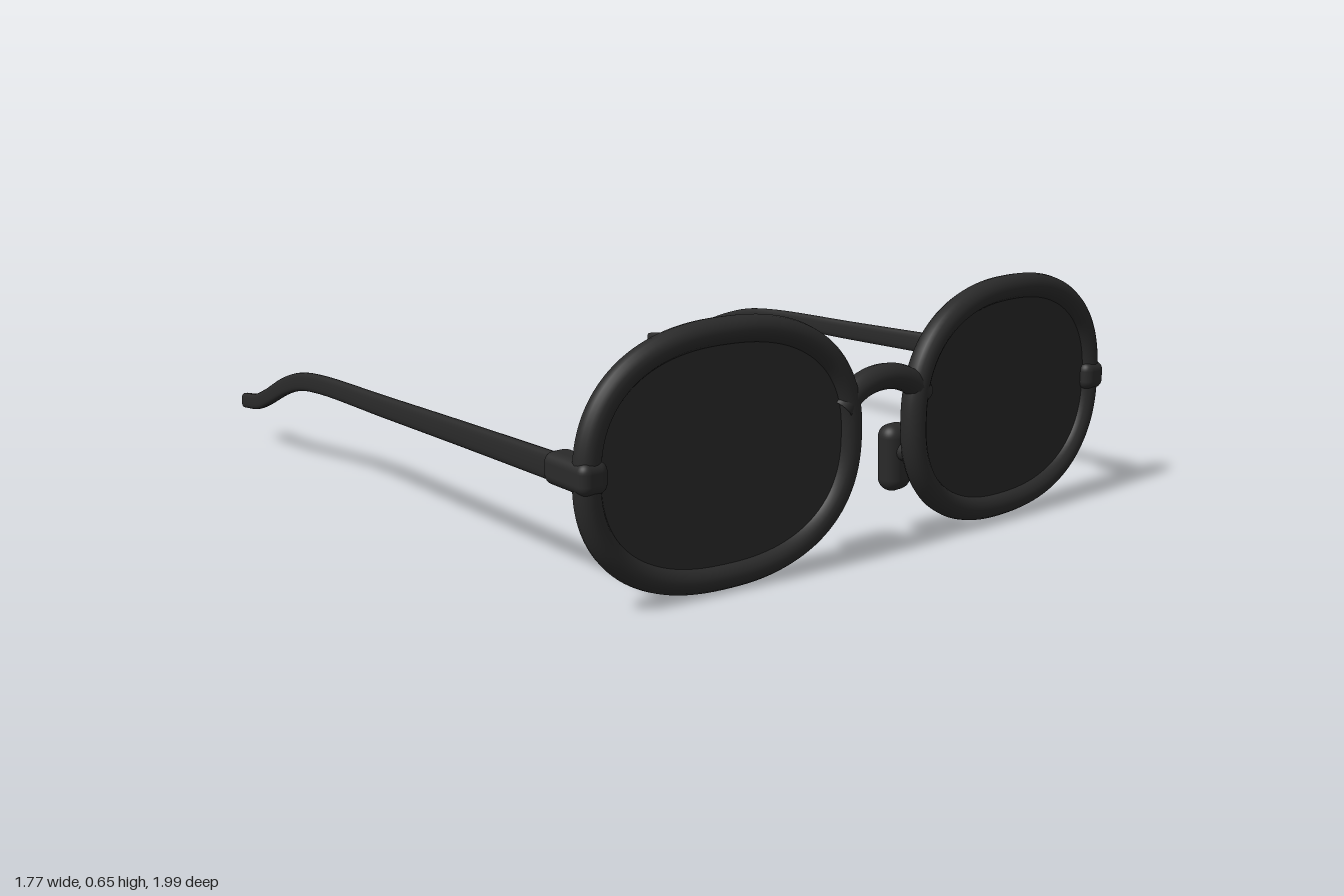
import * as THREE from 'three';
import { RoundedBoxGeometry } from 'three/addons/geometries/RoundedBoxGeometry.js';

const spow = (v, p) => Math.sign(v) * Math.abs(v) ** p;

// Points round a superellipse with half-sizes a and b
function ovalPoints(a, b, exponent, count) {
  return Array.from({ length: count }, (_, i) => {
    const t = (i / count) * Math.PI * 2;
    return new THREE.Vector2(a * spow(Math.cos(t), 2 / exponent), b * spow(Math.sin(t), 2 / exponent));
  });
}

// Temple arm: rounded flat section swept from the hinge back to the ear tip
function templeGeometry(side) {
  const path = new THREE.CatmullRomCurve3([
    [0.86, 0.333, 0.84], [0.852, 0.322, 0.4], [0.844, 0.31, 0], [0.837, 0.299, -0.38],
    [0.834, 0.284, -0.51], [0.829, 0.252, -0.62], [0.812, 0.183, -0.79], [0.8, 0.149, -0.89], [0.791, 0.131, -1],
  ].map(([x, y, z]) => new THREE.Vector3(x * side, y, z)));
  const rings = 64, count = 20, positions = [], index = [];
  for (let i = 0; i <= rings; i++) {
    const t = i / rings, p = path.getPointAt(t), tangent = path.getTangentAt(t);
    const across = new THREE.Vector3(0, 1, 0).cross(tangent).normalize();
    const up = tangent.clone().cross(across);
    const section = ovalPoints(0.0145 - 0.001 * t, 0.034 - 0.011 * t, 3, count);
    for (const q of section) {
      const v = p.clone().addScaledVector(across, q.x).addScaledVector(up, q.y);
      if (i === rings) v.z = -1;
      positions.push(v.x, v.y, v.z);
    }
  }
  for (let i = 0; i < rings; i++) {
    for (let j = 0; j < count; j++) {
      const a = i * count + j, b = i * count + (j + 1) % count;
      index.push(a, b, a + count, b, b + count, a + count);
    }
  }
  // Flat cap at the ear tip, with its own corners so the edge stays sharp
  const cap = positions.length / 3;
  positions.push(...positions.slice(-count * 3));
  for (let j = 1; j < count - 1; j++) index.push(cap, cap + j, cap + j + 1);
  const geometry = new THREE.BufferGeometry();
  geometry.setAttribute('position', new THREE.Float32BufferAttribute(positions, 3));
  geometry.setIndex(index);
  geometry.computeVertexNormals();
  return geometry;
}

export function createModel() {
  const model = new THREE.Group();
  model.name = 'sunglasses';
  const frame = new THREE.MeshStandardMaterial({ color: 0x2a2a2a });
  frame.name = 'frame black';
  const tint = new THREE.MeshStandardMaterial({ color: 0x282828 });
  tint.name = 'lens black';

  function add(parent, name, geometry, material, x = 0, y = 0, z = 0) {
    const mesh = new THREE.Mesh(geometry, material);
    mesh.name = name;
    mesh.position.set(x, y, z);
    parent.add(mesh);
    return mesh;
  }

  // Rim and lens outlines
  const outline = ovalPoints(0.369, 0.291, 2.35, 64);
  const rimPath = new THREE.CatmullRomCurve3(outline.map((p) => new THREE.Vector3(p.x, p.y, 0)), true);
  const rimGeometry = new THREE.TubeGeometry(rimPath, 128, 0.0325, 16, true);
  const lensGeometry = new THREE.ExtrudeGeometry(new THREE.Shape(outline), { depth: 0.02, bevelEnabled: false });
  lensGeometry.translate(0, 0, -0.01);

  for (const side of [1, -1]) {
    const name = side > 0 ? 'left' : 'right';

    // Eyepiece, turned slightly back towards the temple
    const eyepiece = new THREE.Group();
    eyepiece.name = name + 'Eyepiece';
    eyepiece.position.set(0.48 * side, 0.3255, 0.932);
    eyepiece.rotation.y = 0.072 * side;
    model.add(eyepiece);
    add(eyepiece, name + 'Rim', rimGeometry, frame);
    add(eyepiece, name + 'Lens', lensGeometry, tint);

    // Nose pad on a short stem
    const pad = add(model, name + 'NosePad', new RoundedBoxGeometry(0.086, 0.175, 0.068, 5, 0.033), frame, 0.125 * side, 0.21, 0.884);
    pad.rotation.z = 0.04 * side;
    const stem = add(model, name + 'NosePadStem', new THREE.CylinderGeometry(0.024, 0.024, 0.06, 16), frame, 0.125 * side, 0.23, 0.925);
    stem.rotation.x = Math.PI / 2;

    // Hinge block and temple arm
    add(model, name + 'Hinge', new RoundedBoxGeometry(0.076, 0.076, 0.165, 4, 0.024), frame, 0.847 * side, 0.331, 0.8625);
    add(model, name + 'Temple', templeGeometry(side), frame);
  }

  // Arched bridge between the rims
  const bridgePath = new THREE.CatmullRomCurve3([
    [-0.14, 0.385], [-0.1, 0.421], [-0.05, 0.442], [0, 0.448], [0.05, 0.442], [0.1, 0.421], [0.14, 0.385],
  ].map(([x, y]) => new THREE.Vector3(x, y, 0.957)));
  add(model, 'bridge', new THREE.TubeGeometry(bridgePath, 40, 0.0325, 16, false), frame);

  return model;
}
